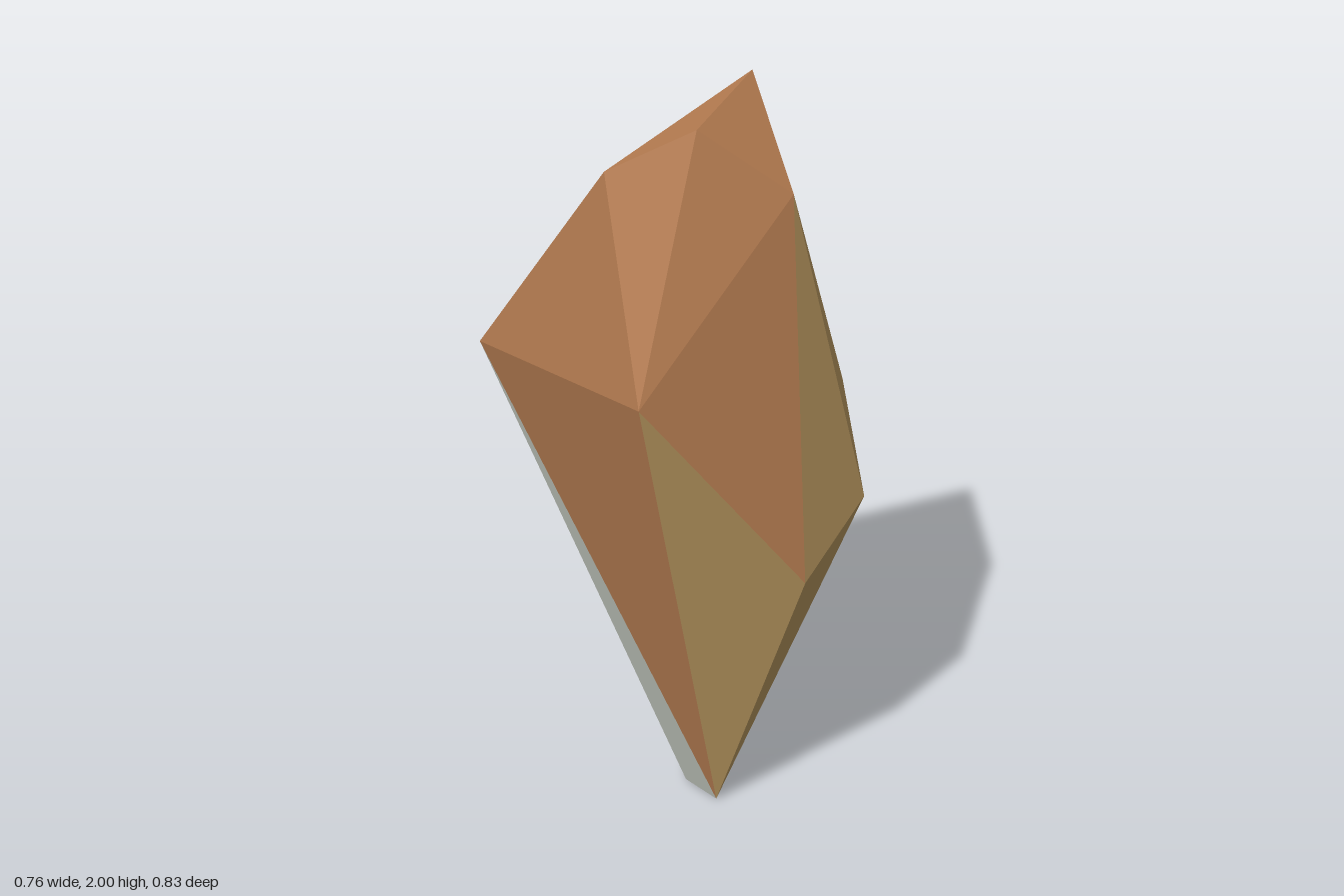
import * as THREE from 'three';

// Corner points of the faceted stone
const P = {
  // ridge and shoulders
  topRight: [0.148, 2.0, 0.081],
  topFront: [-0.195, 1.99, 0.243],
  topLeft: [-0.32, 1.87, 0.065],
  brow: [-0.015, 1.82, 0.38],
  // waist
  backLeft: [-0.315, 1.26, -0.415],
  backRight: [0.128, 1.16, -0.395],
  sideLeft: [-0.383, 1.335, 0.243],
  sideRight: [0.38, 1.13, 0.19],
  chinRight: [0.235, 0.93, 0.408],
  chin: [0.022, 0.765, 0.412],
  // foot
  tipFront: [-0.03, 0, 0.155],
  tipBack: [-0.036, 0.01, 0.045],
};

// Triangles grouped by colour
const brownFaces = [
  ['backLeft', 'backRight', 'topRight'], ['backLeft', 'topRight', 'topLeft'],
  ['topLeft', 'topRight', 'topFront'], ['topLeft', 'topFront', 'sideLeft'],
  ['sideLeft', 'topFront', 'brow'], ['topFront', 'topRight', 'brow'],
  ['sideLeft', 'brow', 'chin'], ['brow', 'topRight', 'sideRight'],
  ['topRight', 'backRight', 'sideRight'], ['backLeft', 'backRight', 'tipBack'],
  ['backLeft', 'sideLeft', 'tipFront'], ['backLeft', 'topLeft', 'sideLeft'],
];
const tanFaces = [
  ['brow', 'chin', 'chinRight'], ['brow', 'chinRight', 'sideRight'],
  ['sideLeft', 'chin', 'tipFront'], ['chin', 'chinRight', 'tipFront'],
  ['chinRight', 'sideRight', 'tipFront'], ['sideRight', 'backRight', 'tipFront'],
];
const greyFaces = [
  ['backRight', 'tipBack', 'tipFront'], ['backLeft', 'tipBack', 'tipFront'],
];

// Builds flat facets, turning each one outward from the stone's core
function facets(name, faces, material) {
  const core = new THREE.Vector3(0, 1.1, 0.1);
  const points = [];
  for (const face of faces) {
    const [a, b, c] = face.map((key) => new THREE.Vector3(...P[key]));
    const normal = b.clone().sub(a).cross(c.clone().sub(a));
    const outward = normal.dot(a.clone().sub(core)) > 0;
    points.push(...(outward ? [a, b, c] : [a, c, b]));
  }
  const geometry = new THREE.BufferGeometry().setFromPoints(points);
  geometry.computeVertexNormals();
  const mesh = new THREE.Mesh(geometry, material);
  mesh.name = name;
  return mesh;
}

function flat(name, color) {
  const material = new THREE.MeshStandardMaterial({ color, flatShading: true });
  material.name = name;
  return material;
}

export function createModel() {
  const model = new THREE.Group();
  model.name = 'facetedStone';
  model.add(
    facets('brownFacets', brownFaces, flat('brown', 0xb87e52)),
    facets('tanFacets', tanFaces, flat('tan', 0xb8975f)),
    facets('greyFacets', greyFaces, flat('grey', 0xb9beb5)),
  );
  return model;
}
